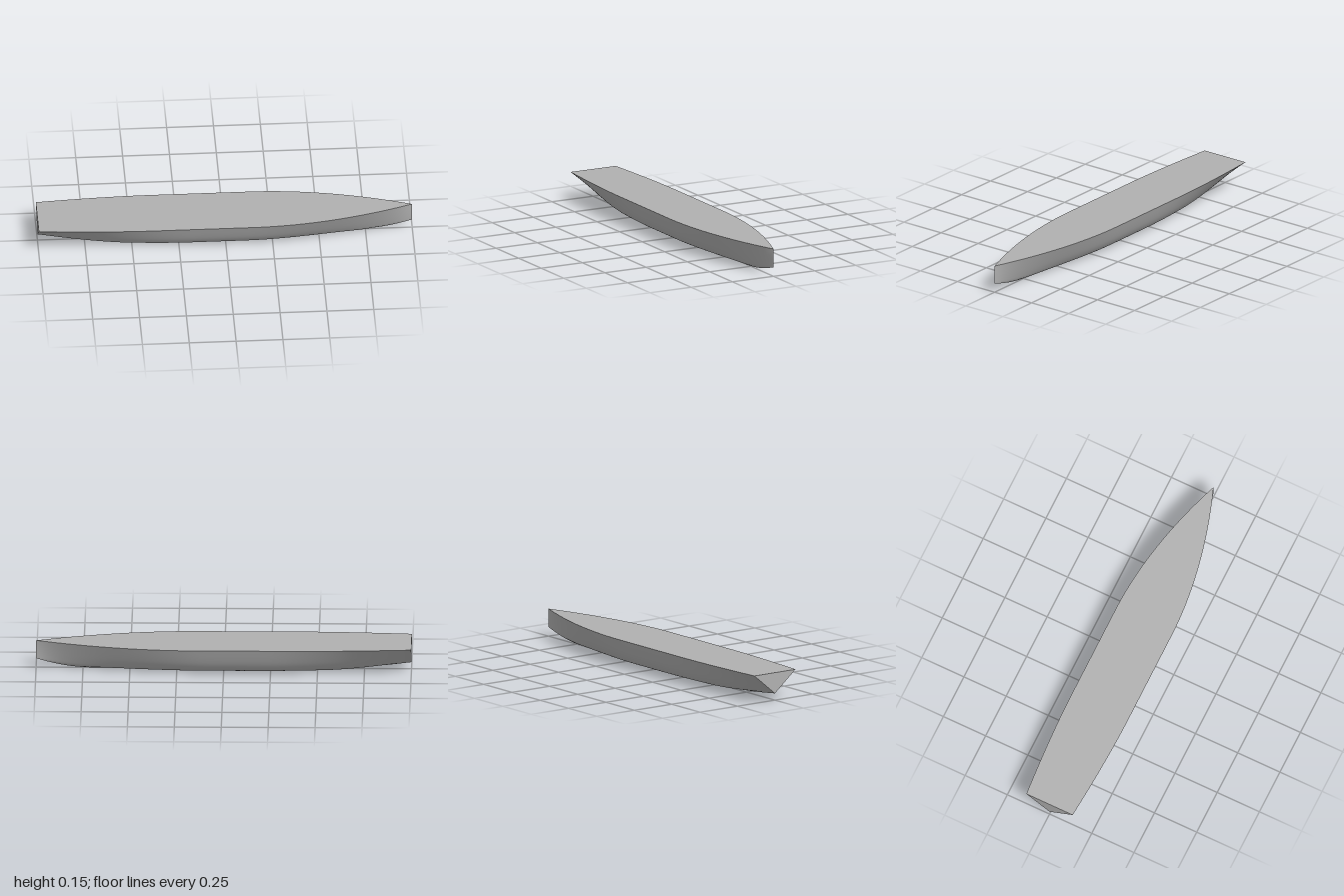
import * as THREE from 'three';

const DECK = 0.15, BEAM = 0.167, STATIONS = 64, ROWS = 24;

const ramp = (x, a, b) => THREE.MathUtils.clamp((x - a) / (b - a), 0, 1);

// Half width of the deck along the length
const halfBeam = x => x > 0.15
  ? BEAM * (1 - Math.pow(ramp(x, 0.15, 1), 1.9))
  : BEAM - 0.03 * Math.pow(ramp(x, -0.4, -1), 1.7);

// Keel height: flat amidships, rising to the stem and the transom
const keelY = x => 0.05 * Math.pow(ramp(x, 0.7, 1), 1.9) + 0.037 * Math.pow(ramp(x, -0.55, -1), 1.6);

// Midship half section as fractions of beam and depth: flat floor, round bilge, flared side
const side = new THREE.SplineCurve([
  [0.48, 0.073], [0.565, 0.115], [0.655, 0.2], [0.775, 0.4], [0.885, 0.667], [1, 1],
].map(p => new THREE.Vector2(...p)));
const section = [];
for (let i = 0; i < 5; i++) section.push(new THREE.Vector2(0.48 * i / 5, 0.073 * i / 5));
section.push(...side.getPoints(ROWS - 5));

// Point on the hull; sections straighten into a V towards both ends
function hullPoint(x, j, sign) {
  const v = x > 0 ? Math.pow(ramp(x, 0.1, 1), 1.6) : Math.pow(ramp(x, -0.2, -1), 1.6);
  const p = section[j], k = keelY(x);
  const w = THREE.MathUtils.lerp(p.x, p.y, v);
  return [x, k + p.y * (DECK - k), sign * w * halfBeam(x)];
}

// Surface through rows of points, smooth within itself
function loft(rows, flip) {
  const n = rows[0].length, index = [];
  for (let i = 0; i < rows.length - 1; i++) {
    for (let j = 0; j < n - 1; j++) {
      const a = i * n + j, b = a + n, c = b + 1, d = a + 1;
      if (flip) index.push(a, c, b, a, d, c);
      else index.push(a, b, c, a, c, d);
    }
  }
  const geometry = new THREE.BufferGeometry();
  geometry.setAttribute('position', new THREE.Float32BufferAttribute(rows.flat(2), 3));
  geometry.setIndex(index);
  geometry.computeVertexNormals();
  return geometry;
}

export function createModel() {
  const group = new THREE.Group();
  group.name = 'boatHull';
  const grey = new THREE.MeshStandardMaterial({ color: 0xb0b0b0 });
  grey.name = 'hull grey';
  const add = (name, geometry) => {
    const mesh = new THREE.Mesh(geometry, grey);
    mesh.name = name;
    group.add(mesh);
  };

  const xs = Array.from({ length: STATIONS + 1 }, (_, i) => -1 + 2 * i / STATIONS);
  const js = section.map((_, j) => j);

  // Two mirrored hull sides meeting at a sharp keel
  for (const [name, sign] of [['frontHullSide', 1], ['backHullSide', -1]]) {
    add(name, loft(xs.map(x => js.map(j => hullPoint(x, j, sign))), sign < 0));
  }

  // Flat deck
  add('deck', loft(xs.map(x => [[x, DECK, halfBeam(x)], [x, DECK, -halfBeam(x)]]), false));

  // Transom closing the stern
  add('transom', loft(js.map(j => [hullPoint(-1, j, -1), hullPoint(-1, j, 1)]), true));

  return group;
}
